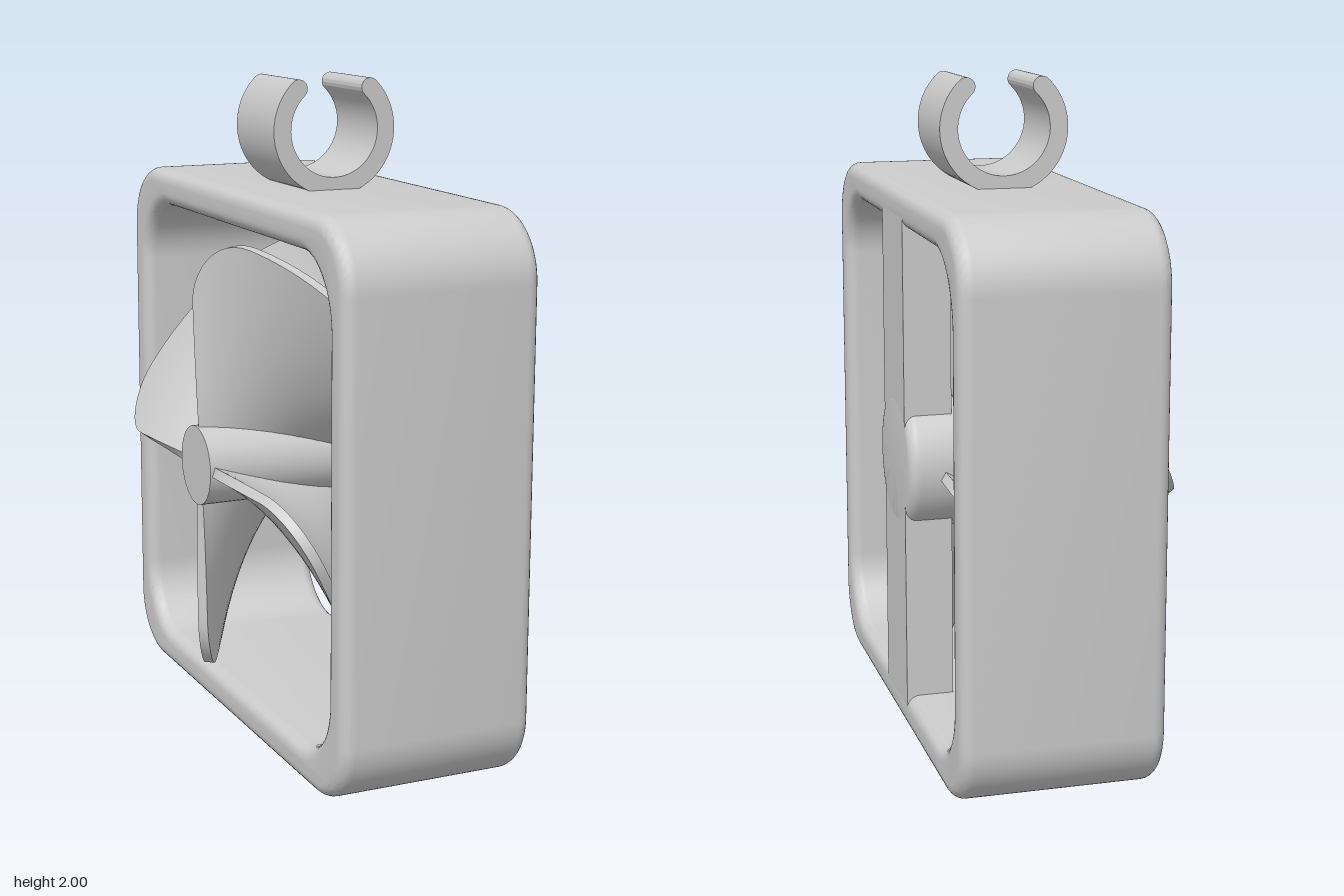
import * as THREE from 'three';
import { toCreasedNormals } from 'three/addons/utils/BufferGeometryUtils.js';

const MID_Y = 0.8375;
const material = new THREE.MeshStandardMaterial({ color: 0xcccccc });

function addMesh(parent, name, geometry, crease = 0.6) {
  const mesh = new THREE.Mesh(toCreasedNormals(geometry, crease), material);
  mesh.name = name;
  parent.add(mesh);
  return mesh;
}

// Rounded square centred on the origin, as a Shape or a Path for a hole
function roundedSquare(Type, half, r) {
  const p = new Type();
  const c = half - r;
  p.absarc(c, c, r, 0, Math.PI / 2);
  p.absarc(-c, c, r, Math.PI / 2, Math.PI);
  p.absarc(-c, -c, r, Math.PI, Math.PI * 1.5);
  p.absarc(c, -c, r, Math.PI * 1.5, Math.PI * 2);
  p.closePath();
  return p;
}

// Square housing with filleted rims, opening along x
function frameGeometry() {
  const shape = roundedSquare(THREE.Shape, 0.8355, 0.2);
  shape.holes.push(roundedSquare(THREE.Path, 0.723, 0.2));
  const b = 0.04;
  const geo = new THREE.ExtrudeGeometry(shape, {
    depth: 0.6 - 2 * b, bevelEnabled: true, bevelThickness: b, bevelSize: b,
    bevelOffset: -b, bevelSegments: 6, curveSegments: 14,
  });
  return geo.translate(0, 0, b - 0.25).rotateY(Math.PI / 2).translate(0, MID_Y, 0);
}

// Open C-shaped clip with rounded lips
function clipGeometry() {
  const cx = 0.04, cy = 1.85, outer = 0.195, inner = 0.14;
  const mid = (outer + inner) / 2, lip = (outer - inner) / 2;
  const a = THREE.MathUtils.degToRad(46.7), b = Math.PI - a;
  const s = new THREE.Shape();
  s.absarc(cx, cy, outer, a, b, true);
  s.absarc(cx + mid * Math.cos(b), cy + mid * Math.sin(b), lip, b, b - Math.PI, true);
  s.absarc(cx, cy, inner, b, a, false);
  s.absarc(cx + mid * Math.cos(a), cy + mid * Math.sin(a), lip, a + Math.PI, a, true);
  return new THREE.ExtrudeGeometry(s, { depth: 0.285, bevelEnabled: false, curveSegments: 32 })
    .translate(0, 0, -0.1425);
}

// Helical blade: closed cross-sections stacked from root to tip, with rounded tip corners
function bladeGeometry() {
  const R = 0.7, root = 0.08, corner = 0.2, pitch = 0.38, half = 0.015;
  const start = -0.035, sweep = 1.56, x0 = -0.345;
  const N = 20, J = 20, M = 2 * (N + 1);
  const pos = [], idx = [];
  for (let j = 0; j <= J; j++) {
    const r = root + (R - root) * Math.sin((j / J) * Math.PI / 2);
    const over = Math.max(0, r - (R - corner));
    const margin = (corner - Math.sqrt(Math.max(0, corner * corner - over * over))) / r;
    const len = Math.hypot(r, pitch);
    for (let m = 0; m < M; m++) {
      const side = m <= N ? 1 : -1;
      const s = (m <= N ? m : M - 1 - m) / N;
      const t = margin + s * (sweep - 2 * margin);
      const a = start + t, h = side * half / len;
      const x = x0 + pitch * t + h * r;
      const u = r * Math.cos(a) + h * pitch * Math.sin(a);
      const v = r * Math.sin(a) - h * pitch * Math.cos(a);
      pos.push(x, v, -u);
    }
  }
  for (let j = 0; j < J; j++) {
    for (let m = 0; m < M; m++) {
      const n = (m + 1) % M;
      const a = j * M + m, b = a + M, c = (j + 1) * M + n, d = j * M + n;
      idx.push(a, b, c, a, c, d);
    }
  }
  // Tip edge
  for (let n = 0; n < N; n++) {
    const o = J * M;
    const p = o + n, q = p + 1, bp = o + M - 1 - n, bq = bp - 1;
    idx.push(q, p, bp, q, bp, bq);
  }
  const geo = new THREE.BufferGeometry();
  geo.setAttribute('position', new THREE.Float32BufferAttribute(pos, 3));
  geo.setIndex(idx);
  geo.computeVertexNormals();
  return geo;
}

// Motor hub: disc about the x axis with a filleted outer edge
function hubGeometry() {
  const r = 0.215, f = 0.035, x0 = 0.185, x1 = 0.35;
  const pts = [new THREE.Vector2(0, x0), new THREE.Vector2(r, x0)];
  for (let i = 0; i <= 6; i++) {
    const a = (i / 6) * Math.PI / 2;
    pts.push(new THREE.Vector2(r - f + f * Math.cos(a), x1 - f + f * Math.sin(a)));
  }
  pts.push(new THREE.Vector2(0, x1));
  return new THREE.LatheGeometry(pts, 48).rotateZ(-Math.PI / 2).translate(0, MID_Y, 0);
}

export function createModel() {
  const model = new THREE.Group();
  model.name = 'clipOnFan';

  addMesh(model, 'frame', frameGeometry());
  addMesh(model, 'clip', clipGeometry());

  // Upright that carries the motor hub
  addMesh(model, 'strut', new THREE.BoxGeometry(0.145, 1.52, 0.28).translate(0.277, MID_Y, 0));
  addMesh(model, 'motorHub', hubGeometry());

  // Rotor: shaft and four blades
  const rotor = new THREE.Group();
  rotor.name = 'rotor';
  rotor.position.y = MID_Y;
  model.add(rotor);
  addMesh(rotor, 'shaft',
    new THREE.CylinderGeometry(0.122, 0.122, 0.575, 40).rotateZ(Math.PI / 2).translate(-0.0675, 0, 0));
  const blade = bladeGeometry();
  for (let i = 0; i < 4; i++) {
    addMesh(rotor, 'blade' + (i + 1), blade).rotation.x = (i * Math.PI) / 2;
  }
  return model;
}
